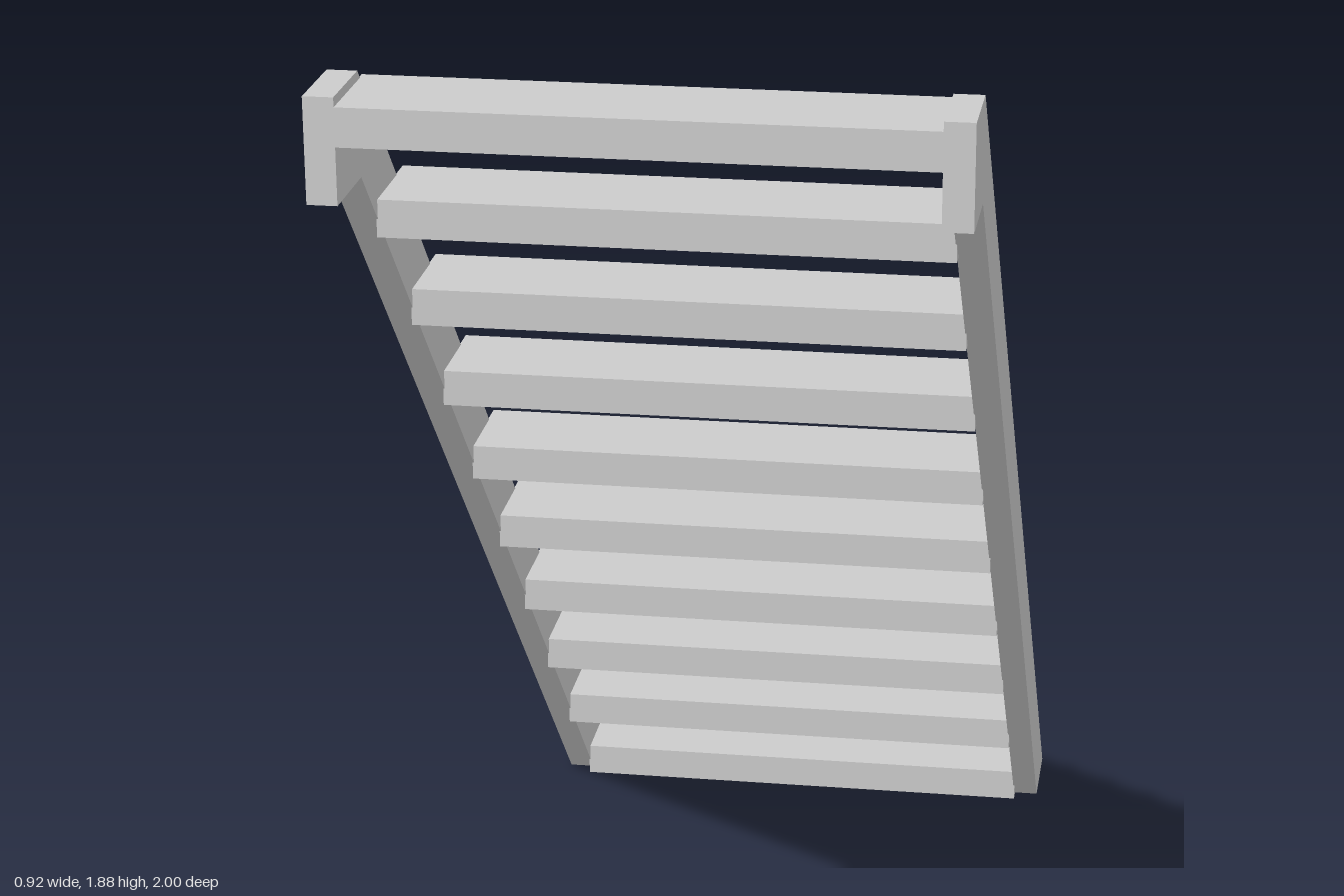
import * as THREE from 'three';

const material = new THREE.MeshStandardMaterial({ color: 0xcccccc, flatShading: true });

// Side profile of a stringer as (z, y): sloped run with a level head at the top
const PROFILE = [[1, 1.88], [0.86, 1.88], [-1, 0], [-0.84, 0], [0.86, 1.725], [1, 1.725]];
const INNER = 0.418, OUTER = 0.462;

function stringer(name, side) {
  const shape = new THREE.Shape(PROFILE.map(([z, y]) => new THREE.Vector2(z, y)));
  const geometry = new THREE.ExtrudeGeometry(shape, { depth: OUTER - INNER, bevelEnabled: false });
  geometry.rotateY(-Math.PI / 2); // profile into the zy plane, thickness towards -x
  geometry.translate(side > 0 ? OUTER : -INNER, 0, 0);
  const mesh = new THREE.Mesh(geometry, material);
  mesh.name = name;
  return mesh;
}

export function createModel() {
  const group = new THREE.Group();
  group.name = 'staircase';
  group.add(stringer('leftStringer', 1), stringer('rightStringer', -1));

  // Open treads, rising towards the front; the top one sits flush with the heads
  const count = 10, depth = 0.173, thickness = 0.057;
  const geometry = new THREE.BoxGeometry(0.84, thickness, depth);
  const treads = new THREE.Group();
  treads.name = 'treads';
  for (let i = 0; i < count; i++) {
    const tread = new THREE.Mesh(geometry, material);
    tread.name = `tread${i + 1}`;
    const back = i === count - 1 ? 1 - depth : -0.985 + 0.198 * i;
    tread.position.set(0, 0.201 * i + thickness / 2, back + depth / 2);
    treads.add(tread);
  }
  group.add(treads);
  return group;
}
